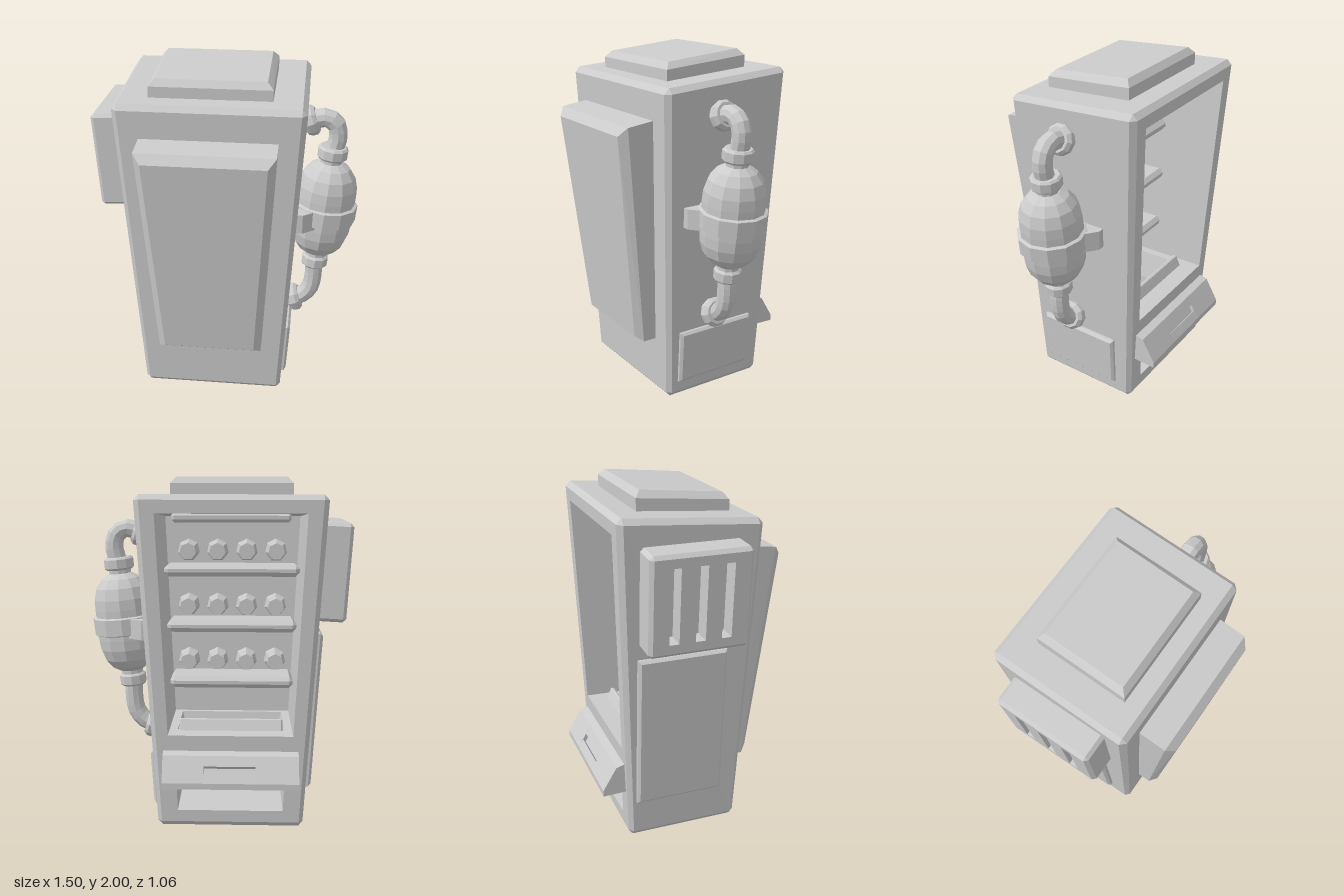
import * as THREE from 'three';
import { mergeGeometries } from 'three/addons/utils/BufferGeometryUtils.js';
import { ConvexGeometry } from 'three/addons/geometries/ConvexGeometry.js';

const grey = new THREE.MeshStandardMaterial({ color: 0xcccccc, flatShading: true });
const thin = new THREE.MeshStandardMaterial({ color: 0xcccccc, flatShading: true, side: THREE.DoubleSide });
const V = (x, y, z) => new THREE.Vector3(x, y, z);
const H = 1.88, W = 1.05, D = 0.8;

// Taper of the cabinet: narrow at the foot, roof sloping down to the front
function warp(geo) {
  const p = geo.attributes.position;
  for (let i = 0; i < p.count; i++) {
    const x = p.getX(i), y = p.getY(i), z = p.getZ(i), t = y / H;
    p.setXYZ(i, -0.078 + x * (0.8 + 0.2 * t), y * (1 - 0.04 * z), -0.057 + z * (0.823 + 0.177 * t));
  }
  geo.computeVertexNormals();
  return geo;
}

// Box with every edge chamfered
function chamferBox(w, h, d, c) {
  const pts = [];
  for (const sx of [-1, 1]) for (const sy of [-1, 1]) for (const sz of [-1, 1]) {
    const x = sx * w / 2, y = sy * h / 2, z = sz * d / 2;
    pts.push(V(x, y - sy * c, z - sz * c), V(x - sx * c, y, z - sz * c), V(x - sx * c, y - sy * c, z));
  }
  return new ConvexGeometry(pts);
}

// Remove triangles whose three corners all pass the test
function dropFaces(geo, test) {
  const g = geo.index ? geo.toNonIndexed() : geo, p = g.attributes.position, kept = [];
  for (let i = 0; i < p.count; i += 3) {
    const tri = [0, 1, 2].map(k => V().fromBufferAttribute(p, i + k));
    if (!tri.every(test)) tri.forEach(v => kept.push(v.x, v.y, v.z));
  }
  const out = new THREE.BufferGeometry();
  out.setAttribute('position', new THREE.Float32BufferAttribute(kept, 3));
  out.computeVertexNormals();
  return out;
}

// Chamfered box with rectangular pockets in its -z face
// pocket: x, y centre, w, h, depth, open = which end (+1 top, -1 bottom) is left open
function piercedBox(w, h, d, c, pockets) {
  const zb = -d / 2, a = w / 2 - c, b = h / 2 - c;
  const rect = (P, x0, x1, y0, y1) => {
    P.moveTo(x0, y0); P.lineTo(x1, y0); P.lineTo(x1, y1); P.lineTo(x0, y1); P.closePath();
    return P;
  };
  const face = rect(new THREE.Shape(), -a, a, -b, b);
  const parts = [dropFaces(chamferBox(w, h, d, c), v => v.z < zb + 1e-4)];
  for (const k of pockets) {
    face.holes.push(rect(new THREE.Path(), -k.x - k.w / 2, -k.x + k.w / 2, k.y - k.h / 2, k.y + k.h / 2));
    let g = new THREE.BoxGeometry(k.w, k.h, k.depth).scale(-1, 1, 1);
    g = dropFaces(g, v => v.z < -k.depth / 2 + 1e-4);
    if (k.open) g = dropFaces(g, v => v.y * k.open > k.h / 2 - 1e-4);
    parts.push(g.translate(k.x, k.y, zb + k.depth / 2));
  }
  parts.push(dropFaces(new THREE.ShapeGeometry(face).rotateY(Math.PI).translate(0, 0, zb), () => false));
  return mergeGeometries(parts);
}

// Skin between rings that have the same number of points
function loft(rings) {
  const n = rings[0].length, idx = [];
  for (let r = 0; r < rings.length - 1; r++) for (let i = 0; i < n; i++) {
    const a = r * n + i, b = r * n + (i + 1) % n;
    idx.push(a, b, a + n, b, b + n, a + n);
  }
  const g = new THREE.BufferGeometry().setFromPoints(rings.flat());
  g.setIndex(idx);
  return g.toNonIndexed();
}
const flatRing = (x, y, z0, z1) => [V(-x, y, z0), V(x, y, z0), V(x, y, z1), V(-x, y, z1)];

export function createModel() {
  const model = new THREE.Group();
  const add = (name, geo, parent = model, mat = grey) => {
    const m = new THREE.Mesh(geo, mat);
    m.name = name;
    parent.add(m);
    return m;
  };

  // Cabinet with display bay and pick-up slot
  add('cabinet', warp(piercedBox(W, H, D, 0.03, [
    { x: 0, y: 1.165 - H / 2, w: 0.83, h: 1.23, depth: 0.645, open: -1 },
    { x: 0, y: 0.24 - H / 2, w: 0.75, h: 0.28, depth: 0.645, open: 1 },
  ]).translate(0, H / 2, 0)));
  add('chute', warp(loft([
    flatRing(0.415, 0.55, -0.4, 0.245), flatRing(0.36, 0.55, -0.25, 0.21),
    flatRing(0.32, 0.38, -0.2, 0.17), flatRing(0.375, 0.38, -0.4, 0.245),
  ])), model, thin);
  const lip = add('chuteLip', chamferBox(0.6, 0.1, 0.03, 0.008));
  lip.position.set(-0.078, 0.57, -0.275);
  lip.rotation.x = 0.45;
  add('lightStrip', warp(chamferBox(0.66, 0.05, 0.08, 0.015).translate(0, 1.76, -0.29)));

  // Shelves, each with a row of bottles lying neck outwards
  const bottle = new THREE.LatheGeometry([[0, 0], [0.06, 0], [0.066, 0.02], [0.066, 0.07], [0.035, 0.1],
    [0.035, 0.115], [0.05, 0.12], [0.05, 0.15], [0, 0.15]].map(p => new THREE.Vector2(...p)), 7).rotateX(-Math.PI / 2);
  for (const y of [0.825, 1.165, 1.495]) {
    add('shelf', warp(chamferBox(0.83, 0.07, 0.3, 0.025).translate(0, y - 0.035, 0.1)));
    for (let i = 0; i < 4; i++)
      add('bottle', bottle).position.set(-0.078 + (i - 1.5) * 0.175, y + 0.07, 0.15);
  }

  // Front door, leaning forward at the top
  const pair = (x, y, z) => [V(-0.08 - x, y, z), V(-0.08 + x, y, z)];
  add('frontDoor', new ConvexGeometry([
    ...pair(0.378, 1.67, 0.3), ...pair(0.378, 1.645, 0.49), ...pair(0.335, 1.595, 0.53),
    ...pair(0.305, 0.35, 0.25), ...pair(0.305, 0.35, 0.365), ...pair(0.265, 0.38, 0.405),
  ]));

  // Roof block
  add('roofBlock', new ConvexGeometry([
    ...pair(0.338, 1.84, 0.22), ...pair(0.338, 1.92, 0.22), ...pair(0.305, 1.957, 0.19),
    ...pair(0.338, 1.88, -0.3), ...pair(0.338, 1.965, -0.3), ...pair(0.305, 2.0, -0.27),
  ]));

  // Side panels lying along the tapered walls
  const sidePanel = (name, side, y0, y1, z0, z1, out) => {
    const wall = y => 0.42 + 0.105 * y / H, pts = [];
    for (const [inset, o] of [[0, -0.03], [0, out * 0.5], [0.015, out]])
      for (const [y, s] of [[y0, 1], [y1, -1]]) for (const z of [z0 + inset, z1 - inset])
        pts.push(V(-0.078 + side * (wall(y) + o), y + s * inset, z));
    add(name, new ConvexGeometry(pts));
  };
  sidePanel('rightServicePanel', 1, 0.1, 0.42, -0.29, 0.21, 0.027);
  sidePanel('leftServicePanel', -1, 0.24, 1.14, -0.35, 0.16, 0.032);

  // Vent box with three slots
  const vent = add('ventBox', piercedBox(0.56, 0.55, 0.18, 0.02,
    [-0.145, 0, 0.145].map(x => ({ x, y: 0, w: 0.055, h: 0.41, depth: 0.1 }))));
  vent.rotation.set(0, Math.PI / 2, 0.055, 'ZYX');
  vent.position.set(-0.645, 1.48, -0.06);

  // Pick-up flap on the back, its middle part notched for a handle slot
  const flap = new THREE.Group();
  flap.name = 'pickupFlap';
  model.add(flap);
  const top = [[0.38, 0.475], [0.45, 0.455]], foot = [[0.53, 0.32], [0.53, 0.285], [0.38, 0.29]];
  const notch = [[0.48, 0.4025], [0.465, 0.385], [0.485, 0.35], [0.5, 0.3675]];
  for (const [x0, x1, mid] of [[-0.465, -0.22, []], [-0.22, 0.07, notch], [0.07, 0.305, []]]) {
    const shape = new THREE.Shape([...top, ...mid, ...foot].map(p => new THREE.Vector2(...p)));
    add('flapSection', new THREE.ExtrudeGeometry(shape, { depth: x1 - x0, bevelEnabled: false })
      .rotateY(Math.PI / 2).translate(x0, 0, 0), flap);
  }

  // Pressure tank on the right wall
  const tank = new THREE.Group();
  tank.name = 'tank';
  tank.position.set(0.557, 1.145, -0.01);
  tank.rotation.z = -0.1;
  model.add(tank);
  const lathe = (name, pts, n = 12) =>
    add(name, new THREE.LatheGeometry(pts.map(p => new THREE.Vector2(...p)), n), tank);
  lathe('tankShell', [[0, -0.3], [0.07, -0.293], [0.115, -0.265], [0.153, -0.215], [0.173, -0.15], [0.177, -0.09],
    [0.177, 0.09], [0.173, 0.15], [0.153, 0.215], [0.115, 0.265], [0.07, 0.293], [0, 0.3]]);
  lathe('tankBand', [[0.17, -0.065], [0.195, -0.055], [0.195, 0.04], [0.17, 0.05]]);
  for (const s of [-1, 1]) {
    const r = s > 0 ? 0.088 : 0.08;
    const prof = [[0.065, 0.27], [0.065, 0.315], [r - 0.012, 0.315], [r, 0.327], [r, 0.378], [r - 0.012, 0.39], [0, 0.39]];
    const pts = prof.map(([x, y]) => [x, s * y]);
    lathe('tankCollar', s > 0 ? pts : pts.reverse(), 10);
  }
  // Wedge-shaped strap holding the band to the wall
  add('tankBracket', new ConvexGeometry([[0.38, 0.225], [0.44, 0.225], [0.52, 0.165]].flatMap(([x, w]) =>
    [-1, 1].flatMap(s => [V(x, 1.075, -0.015 + s * w), V(x, 1.19, -0.015 + s * w)]))));

  // Bent pipes and their wall flanges
  const pipe = pts => add('pipe', new THREE.TubeGeometry(
    new THREE.CatmullRomCurve3(pts.map(([x, y]) => V(x, y, -0.01))), 9, 0.054, 10));
  pipe([[0.595, 1.5], [0.617, 1.59], [0.605, 1.66], [0.555, 1.7], [0.5, 1.695], [0.42, 1.66]]);
  pipe([[0.515, 0.8], [0.518, 0.7], [0.503, 0.6], [0.46, 0.54], [0.38, 0.5]]);
  for (const [x, y, tilt] of [[0.467, 1.685, 0.35], [0.41, 0.515, 0.3]]) {
    const f = add('pipeFlange', new THREE.LatheGeometry([[0, -0.04], [0.075, -0.04], [0.087, -0.02], [0.087, 0.01], [0.07, 0.03], [0, 0.03]]
      .map(p => new THREE.Vector2(...p)), 10));
    f.position.set(x, y, -0.01);
    f.rotation.z = -Math.PI / 2 + tilt;
  }
  return model;
}
